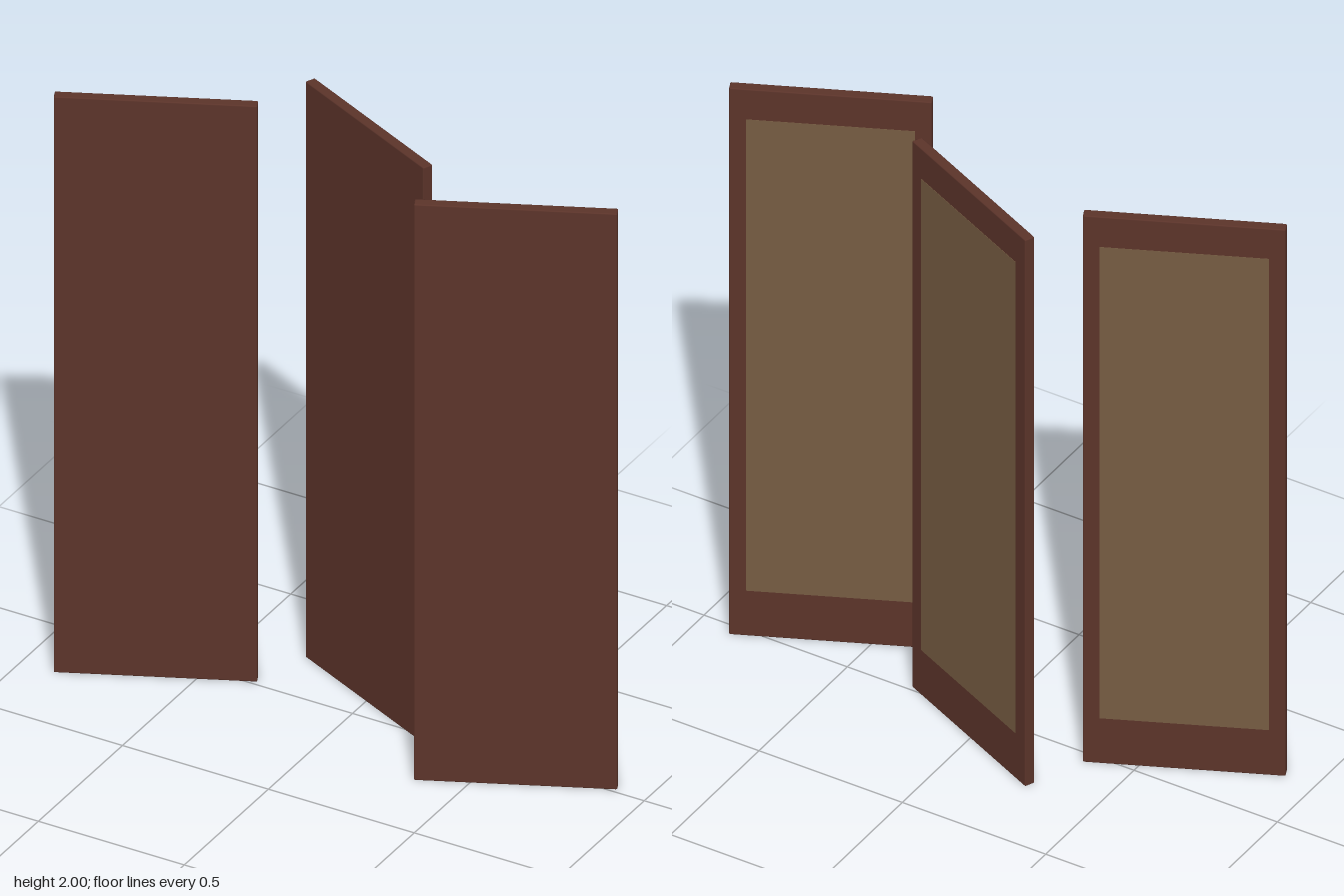
import * as THREE from 'three';
import { RoundedBoxGeometry } from 'three/addons/geometries/RoundedBoxGeometry.js';

const WIDTH = 0.607, HEIGHT = 2, DEPTH = 0.034;
const ANGLE = THREE.MathUtils.degToRad(24.8);

export function createModel() {
  const group = new THREE.Group();
  group.name = 'foldingScreen';

  const wood = new THREE.MeshStandardMaterial({ color: 0x5c342a });
  const cloth = new THREE.MeshStandardMaterial({ color: 0x765c42 });

  // Solid board with slightly eased edges, and the inlay on its back
  const boardGeometry = new RoundedBoxGeometry(WIDTH, HEIGHT, DEPTH, 1, 0.004);
  const inlayGeometry = new THREE.BoxGeometry(0.506, 1.725, 0.004);

  function addPanel(name, x, z, angle) {
    const panel = new THREE.Group();
    panel.name = name;

    const board = new THREE.Mesh(boardGeometry, wood);
    board.name = 'board';
    board.position.y = HEIGHT / 2;

    const inlay = new THREE.Mesh(inlayGeometry, cloth);
    inlay.name = 'backInlay';
    inlay.position.set(0, 1.028, -DEPTH / 2 + 0.001);

    panel.add(board, inlay);
    panel.position.set(x, 0, z);
    panel.rotation.y = angle;
    group.add(panel);
  }

  // Three leaves in a zigzag
  addPanel('rightPanel', -0.617, 0.098, ANGLE);
  addPanel('middlePanel', 0, -0.098, -ANGLE);
  addPanel('leftPanel', 0.617, 0.098, ANGLE);

  return group;
}
